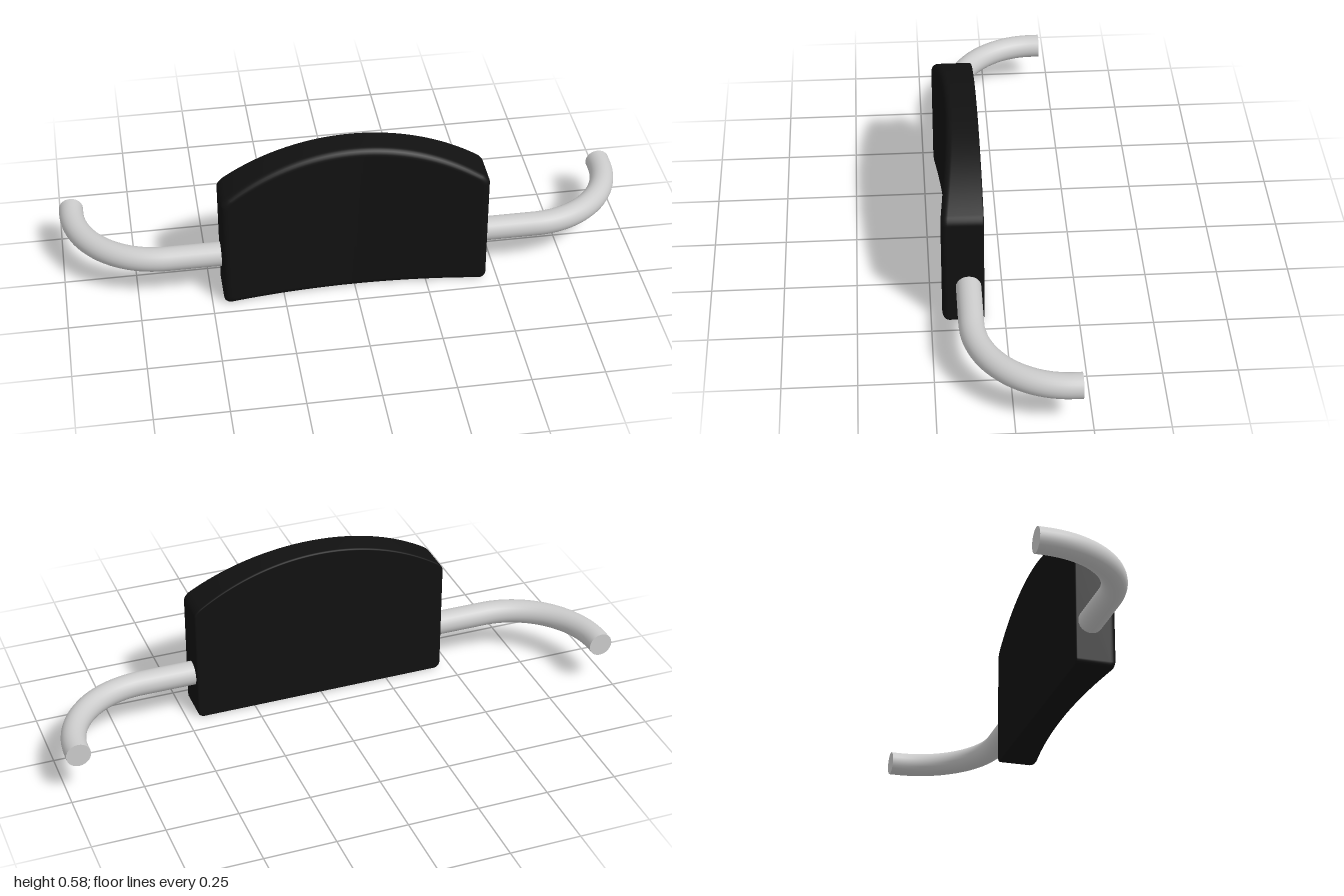
import * as THREE from 'three';

const HALF_WIDTH = 0.46, HEIGHT = 0.578, ARCH_RADIUS = 0.784, CORNER = 0.022;
const BACK_Z = 0.07;
const BAR_RADIUS = 0.0425, BAR_Y = 0.158, BAR_Z = 0.123;

// Column positions across the pad, denser in the rounded corners
function columns(w, c) {
  const right = [];
  for (let i = 1; i <= 20; i++) right.push(((w - c) * i) / 20);
  for (let i = 1; i <= 6; i++) right.push(w - c + c * Math.sin((i / 6) * Math.PI / 2));
  return [...right.map((x) => -x).reverse(), 0, ...right];
}

// Closed outline of the pad, shrunk by an inset: bottom left to right, top right to left
function outline(inset) {
  const w = HALF_WIDTH - inset;
  const xs = columns(w, CORNER);
  const round = (x) => {
    const t = Math.max(0, Math.abs(x) - (w - CORNER));
    return CORNER - Math.sqrt(Math.max(0, CORNER * CORNER - t * t));
  };
  const arch = (x) => HEIGHT - ARCH_RADIUS + Math.sqrt(ARCH_RADIUS ** 2 - x * x);
  const bottom = xs.map((x) => [x, inset + round(x)]);
  const top = xs.map((x) => [x, arch(x) - inset - round(x) * 0.7]).reverse();
  return [...bottom, ...top];
}

// Arched pad: flat back, front face hollowed across its width, edges rounded
function padGeometry() {
  const frontZ = (x) => 0.18 + 0.036 * (x / HALF_WIDTH) ** 2;
  const rings = [];
  const steps = 6, backR = 0.006, frontR = 0.026;
  for (let i = 0; i <= 3; i++) {
    const a = (i / 3) * Math.PI / 2;
    rings.push({ inset: backR * (1 - Math.sin(a)), z: () => BACK_Z + backR * (1 - Math.cos(a)) });
  }
  for (let i = 0; i <= steps; i++) {
    const a = (i / steps) * Math.PI / 2;
    rings.push({ inset: frontR * (1 - Math.cos(a)), z: (x) => frontZ(x) - frontR * (1 - Math.sin(a)) });
  }
  const positions = [], index = [];
  let n = 0;
  for (const { inset, z } of rings) {
    const points = outline(inset);
    n = points.length;
    for (const [x, y] of points) positions.push(x, y, z(x));
  }
  const quad = (a, b, c, d) => index.push(a, b, c, a, c, d);
  for (let r = 0; r < rings.length - 1; r++) {
    for (let i = 0; i < n; i++) {
      const j = (i + 1) % n;
      quad(r * n + i, r * n + j, (r + 1) * n + j, (r + 1) * n + i);
    }
  }
  // Back and front faces, strips between bottom and top columns
  const last = (rings.length - 1) * n;
  for (let i = 0; i < n / 2 - 1; i++) {
    const up = n - 1 - i;
    quad(i, up, up - 1, i + 1);
    quad(last + i, last + i + 1, last + up - 1, last + up);
  }
  const geometry = new THREE.BufferGeometry();
  geometry.setAttribute('position', new THREE.Float32BufferAttribute(positions, 3));
  geometry.setIndex(index);
  geometry.computeVertexNormals();
  return geometry;
}

// Centre line of the bar: straight middle, a quarter bend at each end, short straight tips
function barPath() {
  const endX = 1 - BAR_RADIUS, endZ = -0.215, bend = 0.31, k = bend * 0.4477;
  const v = (x, z) => new THREE.Vector3(x, BAR_Y, z);
  const path = new THREE.CurvePath();
  path.add(new THREE.LineCurve3(v(-endX, endZ), v(-endX, BAR_Z - bend)));
  path.add(new THREE.CubicBezierCurve3(
    v(-endX, BAR_Z - bend), v(-endX, BAR_Z - k), v(-endX + k, BAR_Z), v(-endX + bend, BAR_Z)));
  path.add(new THREE.LineCurve3(v(-endX + bend, BAR_Z), v(endX - bend, BAR_Z)));
  path.add(new THREE.CubicBezierCurve3(
    v(endX - bend, BAR_Z), v(endX - k, BAR_Z), v(endX, BAR_Z - k), v(endX, BAR_Z - bend)));
  path.add(new THREE.LineCurve3(v(endX, BAR_Z - bend), v(endX, endZ)));
  return path;
}

export function createModel() {
  const model = new THREE.Group();
  model.name = 'paddedBar';
  const black = new THREE.MeshStandardMaterial({ color: 0x111111 });
  const grey = new THREE.MeshStandardMaterial({ color: 0xcccccc });

  const add = (name, geometry, material, parent = model) => {
    const mesh = new THREE.Mesh(geometry, material);
    mesh.name = name;
    parent.add(mesh);
    return mesh;
  };

  add('pad', padGeometry(), black);

  const bar = new THREE.Group();
  bar.name = 'bar';
  model.add(bar);
  add('barTube', new THREE.TubeGeometry(barPath(), 120, BAR_RADIUS, 24, false), grey, bar);

  // Flat ends of the bar, facing backwards
  for (const [side, name] of [[1, 'leftBarEnd'], [-1, 'rightBarEnd']]) {
    const cap = add(name, new THREE.CircleGeometry(BAR_RADIUS, 24), grey, bar);
    cap.position.set(side * (1 - BAR_RADIUS), BAR_Y, -0.215);
    cap.rotation.y = Math.PI;
  }
  return model;
}
